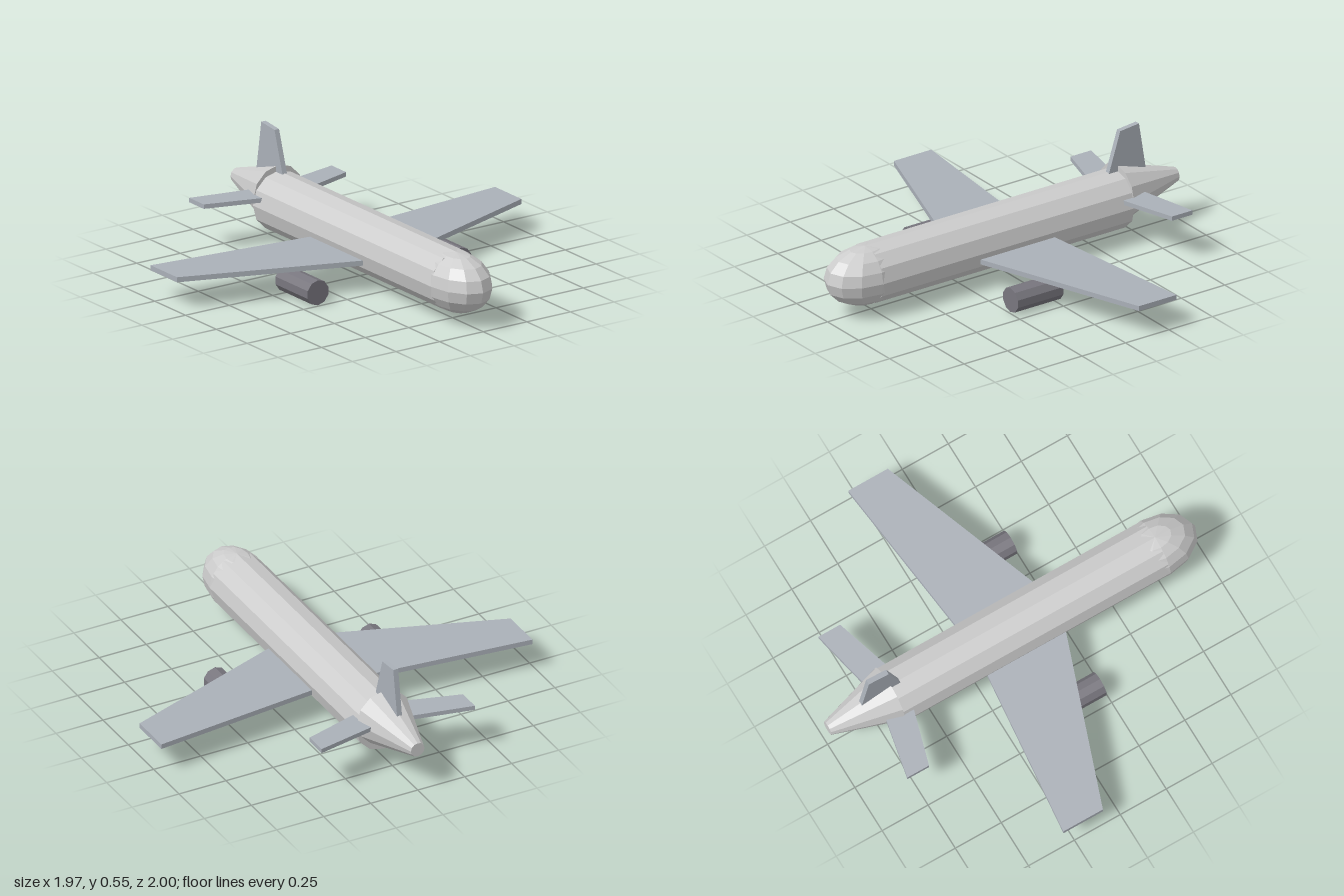
import * as THREE from 'three';

const paint = (color) => new THREE.MeshStandardMaterial({ color, flatShading: true });
const bodyPaint = paint(0xcccccc);
const wingPaint = paint(0xaab0b8);
const enginePaint = paint(0x78767e);

function add(parent, name, geometry, material) {
  const mesh = new THREE.Mesh(geometry, material);
  mesh.name = name;
  parent.add(mesh);
  return mesh;
}

// Faceted tube lying along z, from zBack to zFront
function barrel(rFront, rBack, zFront, zBack, sides) {
  return new THREE.CylinderGeometry(rFront, rBack, zFront - zBack, sides)
    .rotateX(Math.PI / 2)
    .translate(0, 0, (zFront + zBack) / 2);
}

// Flat plate cut from an outline
function plate(points, thickness) {
  const shape = new THREE.Shape(points.map(([a, b]) => new THREE.Vector2(a, b)));
  return new THREE.ExtrudeGeometry(shape, { depth: thickness, bevelEnabled: false });
}

// Horizontal plate from [x, z] corners, mirrored by side
function levelPlate(corners, side, yBottom, yTop) {
  return plate(corners.map(([x, z]) => [side * x, -z]), yTop - yBottom)
    .rotateX(-Math.PI / 2)
    .translate(0, yBottom, 0);
}

export function createModel() {
  const plane = new THREE.Group();
  plane.name = 'airliner';

  // Body: main tube, stretched nose dome, raised tail cone
  const bodyY = 0.19, bodyR = 0.145;
  add(plane, 'fuselage', barrel(bodyR, bodyR, 0.78, -0.663, 12), bodyPaint).position.y = bodyY;
  const nose = new THREE.SphereGeometry(bodyR, 12, 8).scale(1, 1, 1.5);
  add(plane, 'nose', nose, bodyPaint).position.set(0, bodyY, 0.7825);
  add(plane, 'tailCone', barrel(0.142, 0.036, -0.663, -1, 12), bodyPaint).position.y = 0.221;

  // Wings, stabilizers and engines, one set per side
  const wing = [[0.135, 0.217], [0.987, -0.087], [0.987, -0.302], [0.135, -0.21]];
  const stabilizer = [[0.1, -0.599], [0.408, -0.69], [0.408, -0.808], [0.1, -0.744]];
  for (const [side, label] of [[1, 'left'], [-1, 'right']]) {
    add(plane, label + 'Wing', levelPlate(wing, side, 0.136, 0.161), wingPaint);
    add(plane, label + 'Stabilizer', levelPlate(stabilizer, side, 0.218, 0.24), wingPaint);
    add(plane, label + 'Engine', barrel(0.062, 0.062, 0.24, -0.022, 10), enginePaint)
      .position.set(side * 0.41, 0.062, 0);
  }

  // Upright fin from [z, y] corners
  const fin = [[-0.6, 0.3], [-0.675, 0.535], [-0.783, 0.546], [-0.826, 0.28]];
  const finGeometry = plate(fin, 0.026).rotateY(-Math.PI / 2).translate(0.013, 0, 0);
  add(plane, 'fin', finGeometry, wingPaint);

  return plane;
}
